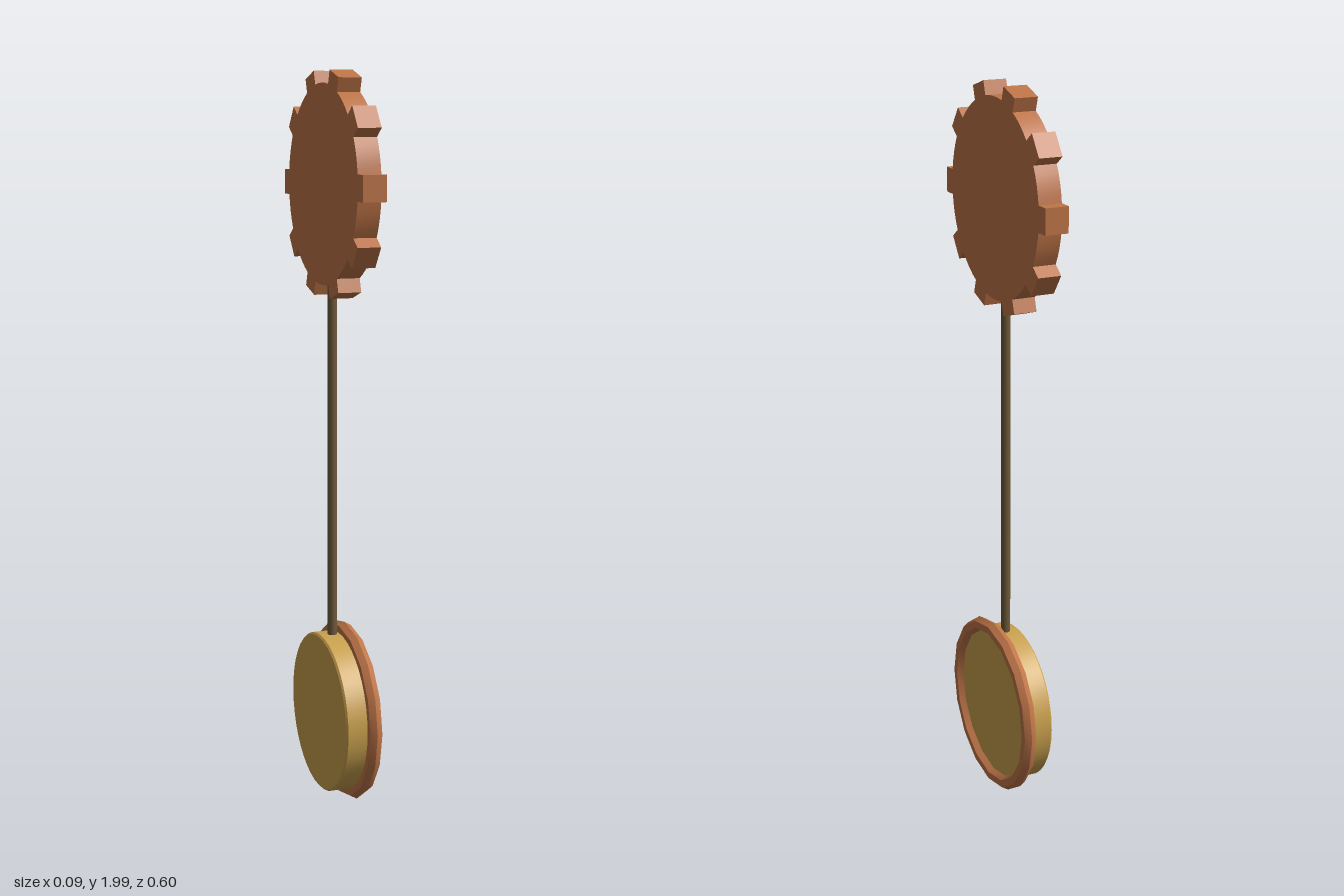
import * as THREE from 'three';
import { toCreasedNormals } from 'three/addons/utils/BufferGeometryUtils.js';

const copper = new THREE.MeshStandardMaterial({ name: 'copper', color: 0xbf7548 });
const brass = new THREE.MeshStandardMaterial({ name: 'brass', color: 0xcba24f });
const bronze = new THREE.MeshStandardMaterial({ name: 'darkBronze', color: 0x6e5a3a });

const GEAR_Y = 1.706;
const BOB_Y = 0.257;

// Outline of a wheel with square teeth
function gearShape(teeth, bodyR, tipR, halfWidth) {
  const points = [];
  const step = (Math.PI * 2) / teeth;
  const root = Math.asin(halfWidth / bodyR);
  const rootX = Math.sqrt(bodyR * bodyR - halfWidth * halfWidth);
  for (let i = 0; i < teeth; i++) {
    const a = i * step;
    for (const [r, t] of [[rootX, -halfWidth], [tipR, -halfWidth], [tipR, halfWidth], [rootX, halfWidth]]) {
      points.push(new THREE.Vector2(r, t).rotateAround(new THREE.Vector2(), a));
    }
    // rounded gap up to the next tooth
    const gap = step - 2 * root;
    for (let k = 1; k < 4; k++) {
      const b = a + root + (gap * k) / 4;
      points.push(new THREE.Vector2(Math.cos(b) * bodyR, Math.sin(b) * bodyR));
    }
  }
  return new THREE.Shape(points);
}

export function createModel() {
  const group = new THREE.Group();
  group.name = 'pendulum';
  const add = (name, geometry, material, x, y) => {
    const mesh = new THREE.Mesh(geometry, material);
    mesh.name = name;
    mesh.position.set(x, y, 0);
    group.add(mesh);
  };

  // Gear wheel facing sideways
  const gear = new THREE.ExtrudeGeometry(gearShape(10, 0.264, 0.3, 0.034), { depth: 0.064, bevelEnabled: false });
  gear.rotateY(Math.PI / 2);
  add('gear', toCreasedNormals(gear, 0.5), copper, -0.037, GEAR_Y);

  // Rod from the gear to the bob
  add('rod', new THREE.CylinderGeometry(0.013, 0.013, GEAR_Y - BOB_Y, 12), bronze, -0.008, (GEAR_Y + BOB_Y) / 2);

  // Bob: a thick disc with a small bevel on its back edge
  const profile = [[0, -0.048], [0.215, -0.048], [0.22, -0.043], [0.22, 0.03], [0, 0.03]];
  const bob = new THREE.LatheGeometry(profile.map(([r, h]) => new THREE.Vector2(r, h)), 40);
  bob.rotateZ(-Math.PI / 2);
  add('bob', toCreasedNormals(bob, 0.5), brass, 0, BOB_Y);

  // Faceted rim around the face of the bob
  const rim = new THREE.TorusGeometry(0.23, 0.02, 6, 16);
  rim.rotateY(Math.PI / 2);
  add('bobRim', toCreasedNormals(rim, 0.5), copper, 0.029, BOB_Y);

  return group;
}
